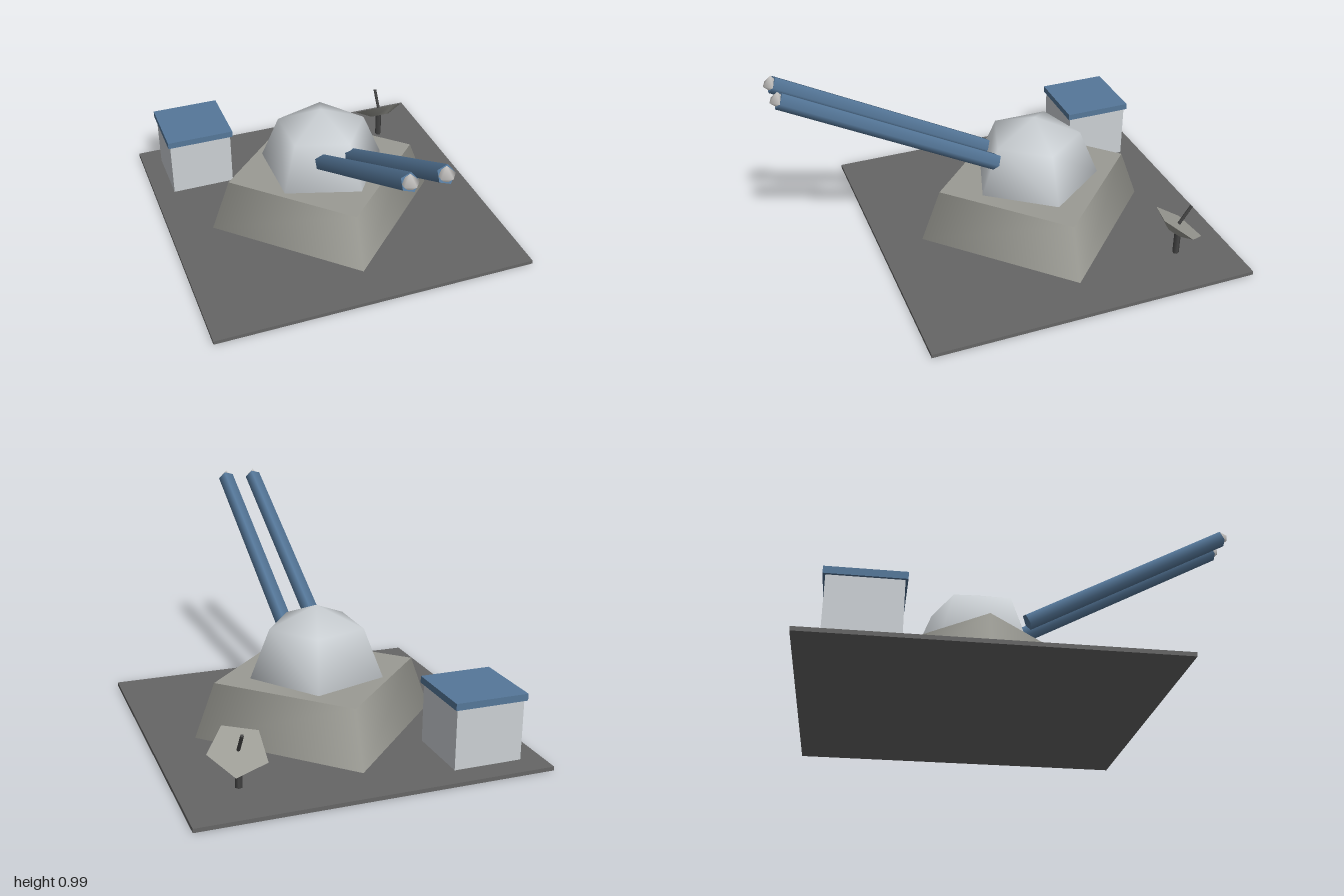
import * as THREE from 'three';

const mat = (name, color) => {
  const m = new THREE.MeshStandardMaterial({ color });
  m.name = name;
  return m;
};

export function createModel() {
  const model = new THREE.Group();
  model.name = 'gunEmplacement';

  const darkGrey = mat('darkGrey', 0x666666);
  const stone = mat('stone', 0x9b9b94);
  const paleGrey = mat('paleGrey', 0xcbd0d4);
  const blue = mat('blue', 0x557799);
  const tipGrey = mat('tipGrey', 0xcccac8);
  const iron = mat('iron', 0x444444);

  const add = (name, geometry, material, x, y, z, parent = model) => {
    const mesh = new THREE.Mesh(geometry, material);
    mesh.name = name;
    mesh.position.set(x, y, z);
    parent.add(mesh);
    return mesh;
  };
  // Five-sided prism with one corner pointing to +x
  const prism = (top, bottom, height) =>
    new THREE.CylinderGeometry(top, bottom, height, 5, 1, false, Math.PI / 2);

  // Ground plate
  const ground = 0.018;
  add('groundPlate', new THREE.BoxGeometry(1.552, ground, 1.556), darkGrey, 0, ground / 2, -0.222);

  // Four-sided plinth, corners on the axes
  const deck = 0.267, centreZ = -0.22;
  add('plinth', new THREE.CylinderGeometry(0.477, 0.57, deck - ground, 4), stone,
    0, (deck + ground) / 2, centreZ);

  // Low-poly turret dome
  add('turretDome', new THREE.SphereGeometry(0.311, 5, 2, Math.PI, Math.PI * 2, 0, Math.PI / 2),
    paleGrey, 0, deck, centreZ);

  // Twin barrels with faceted tips
  const breech = new THREE.Vector3(0, 0.425, 0);
  const muzzle = new THREE.Vector3(0, 0.945, 0.962);
  const mid = breech.clone().lerp(muzzle, 0.5);
  const pitch = Math.atan2(muzzle.z - breech.z, muzzle.y - breech.y);
  for (const [side, x] of [['right', -0.074], ['left', 0.074]]) {
    const barrel = add(side + 'Barrel', prism(0.04, 0.04, breech.distanceTo(muzzle)), blue, x, mid.y, mid.z);
    barrel.rotation.x = pitch;
    add(side + 'MuzzleTip', new THREE.SphereGeometry(0.04, 5, 2, Math.PI), tipGrey, x, muzzle.y, muzzle.z);
  }

  // Hut with an overhanging flat roof
  add('hutWalls', new THREE.BoxGeometry(0.311, 0.272, 0.311), paleGrey, -0.522, 0.154, -0.738);
  add('hutRoof', new THREE.BoxGeometry(0.333, 0.031, 0.333), blue, -0.522, 0.306, -0.738);

  // Dish antenna, tilted up and to the back
  add('dishPole', prism(0.016, 0.016, 0.147), iron, 0.52, ground + 0.0735, -0.737);
  const antenna = new THREE.Group();
  antenna.name = 'dishAntenna';
  antenna.position.set(0.52, 0.182, -0.738);
  antenna.rotation.x = -0.59;
  model.add(antenna);
  add('dish', prism(0.131, 0.05, 0.04), stone, 0, -0.02, 0, antenna);
  add('feedRod', prism(0.008, 0.008, 0.104), iron, 0, 0.052, 0, antenna);

  return model;
}
